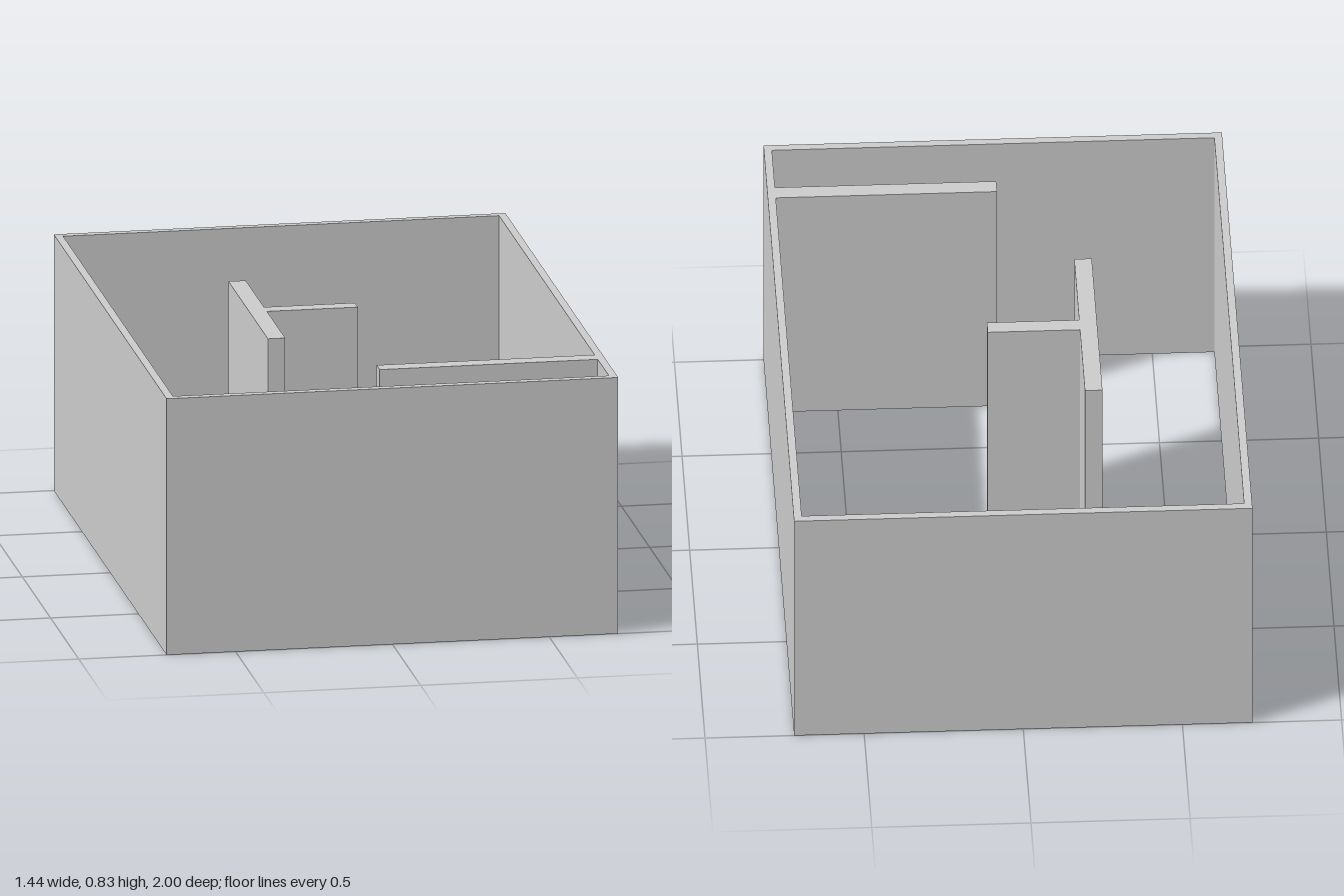
import * as THREE from 'three';

const H = 0.833; // common wall height

export function createModel() {
  const group = new THREE.Group();
  const material = new THREE.MeshStandardMaterial({ color: 0xcccccc, flatShading: true });

  // Plan points are [x, z]; shape y is -z so the extrusion can be turned upright.
  const plan = (points) => points.map(([x, z]) => new THREE.Vector2(x, -z));
  const rect = (x0, x1, z0, z1) => [[x0, z0], [x0, z1], [x1, z1], [x1, z0]];

  function addWall(name, outline, hole) {
    const shape = new THREE.Shape(plan(outline));
    if (hole) shape.holes.push(new THREE.Path(plan(hole)));
    const geometry = new THREE.ExtrudeGeometry(shape, { depth: H, bevelEnabled: false });
    geometry.rotateX(-Math.PI / 2);
    const mesh = new THREE.Mesh(geometry, material);
    mesh.name = name;
    group.add(mesh);
  }

  // Four outer walls, open above and below
  addWall('outerWalls', rect(-0.72, 0.72, -1, 1), rect(-0.695, 0.695, -0.973, 0.973));

  // Partition reaching in from the +x wall
  addWall('sidePartition', rect(0, 0.696, 0.72, 0.775));

  // Free-standing T-shaped partition
  addWall('teePartition', [
    [-0.28, -0.35], [-0.28, 0.35], [-0.225, 0.35], [-0.225, 0.026],
    [0.065, 0.026], [0.065, -0.026], [-0.225, -0.026], [-0.225, -0.35],
  ]);

  return group;
}
